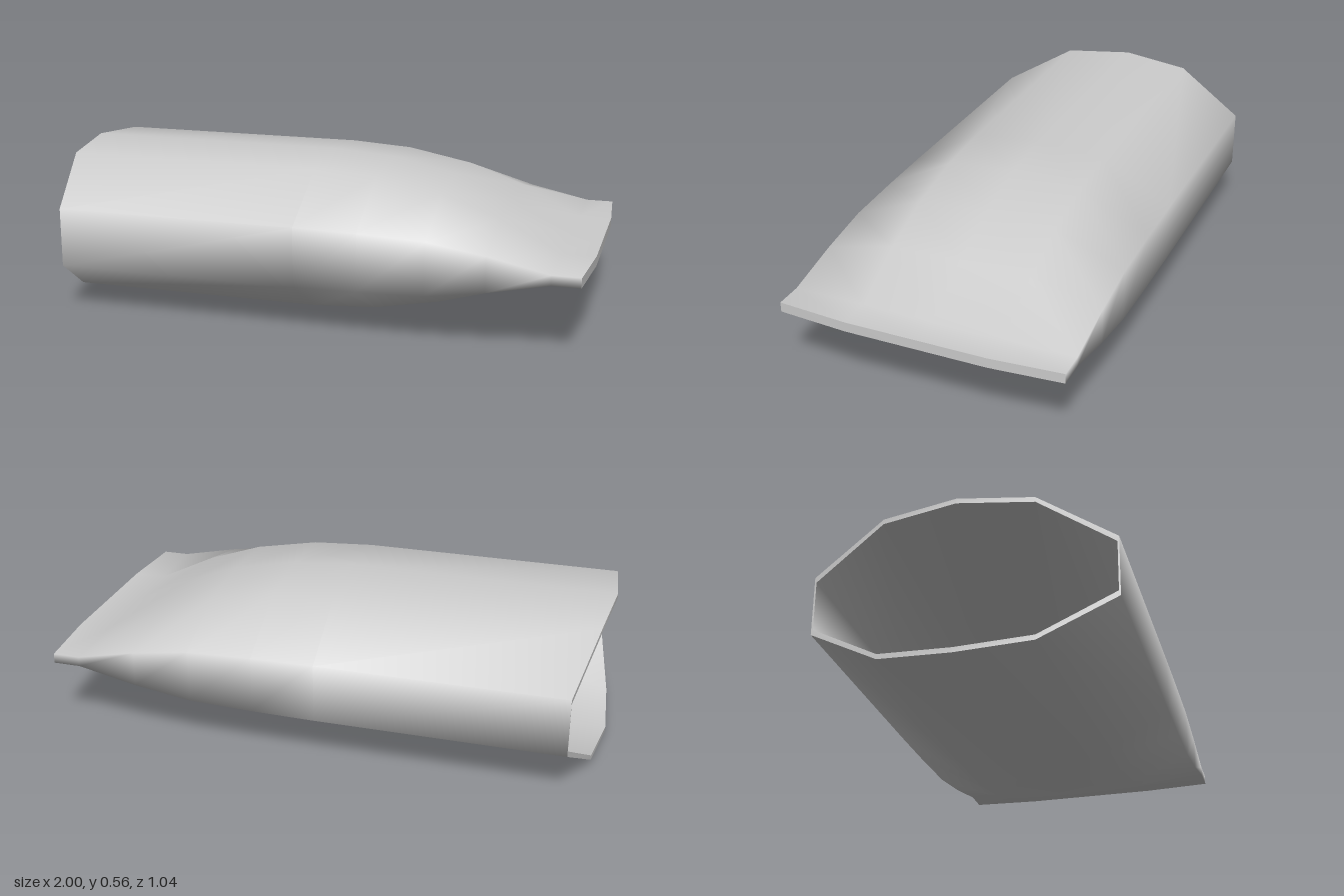
import * as THREE from 'three';

const MID = 0.285;                       // height of the centre line
const Z = [0.52, 0.26, 0, -0.26, -0.52]; // points across the width

// Stations along the tube: x and half height at the centre, quarter and side
const STATIONS = [
  { x: [-1, -0.975, -0.915], h: [0.282, 0.26, 0.108] },
  { x: [-0.02, -0.02, -0.02], h: [0.282, 0.26, 0.108] },
  { x: [0.21, 0.21, 0.21], h: [0.265, 0.246, 0.105] },
  { x: [0.45, 0.45, 0.45], h: [0.215, 0.2, 0.097] },
  { x: [0.66, 0.66, 0.66], h: [0.135, 0.127, 0.065] },
  { x: [0.88, 0.88, 0.88], h: [0.018, 0.018, 0.018] },
  { x: [1, 1, 0.98], h: [0.018, 0.018, 0.018] },
];

// Ten-point ring: over the top from left to right, back along the bottom
function ring({ x, h }, inset = 0, sideInset = 0) {
  const half = sign => Z.map((z, i) => {
    const k = Math.abs(i - 2);
    const y = MID + sign * Math.max(h[k] - inset, 0.001);
    return [x[k], y, z - (k === 2 ? Math.sign(z) * sideInset : 0)];
  });
  return [...half(1), ...half(-1).reverse()];
}

// Smooth skin through equally long rows of points
function skin(name, rows, { closed = true, flip = false } = {}) {
  const n = rows[0].length;
  const index = [];
  for (let i = 0; i < rows.length - 1; i++) {
    for (let j = 0; j < (closed ? n : n - 1); j++) {
      const k = (j + 1) % n;
      const a = i * n + j, b = a + n, c = (i + 1) * n + k, d = i * n + k;
      index.push(...(flip ? [a, c, b, a, d, c] : [a, b, c, a, c, d]));
    }
  }
  const geometry = new THREE.BufferGeometry();
  geometry.setAttribute('position', new THREE.Float32BufferAttribute(rows.flat(2), 3));
  geometry.setIndex(index);
  geometry.computeVertexNormals();
  const mesh = new THREE.Mesh(geometry, new THREE.MeshStandardMaterial({ color: 0xcccccc }));
  mesh.name = name;
  return mesh;
}

export function createModel() {
  const group = new THREE.Group();
  group.name = 'crimpedTube';

  const outer = STATIONS.map(s => ring(s));
  const inner = STATIONS.slice(0, -1).map(s => ring(s, 0.018, 0.006));
  const end = outer[outer.length - 1];

  // Outside wall, tapering into the flat crimp
  group.add(skin('outerWall', outer));
  // Inside wall, closing where the crimp begins
  group.add(skin('innerWall', inner, { flip: true }));
  // Rim around the open mouth
  group.add(skin('mouthRim', [outer[0], inner[0]], { flip: true }));
  // Narrow end face of the crimp
  group.add(skin('crimpEnd', [end.slice(0, 5), end.slice(5).reverse()], { closed: false }));

  return group;
}
